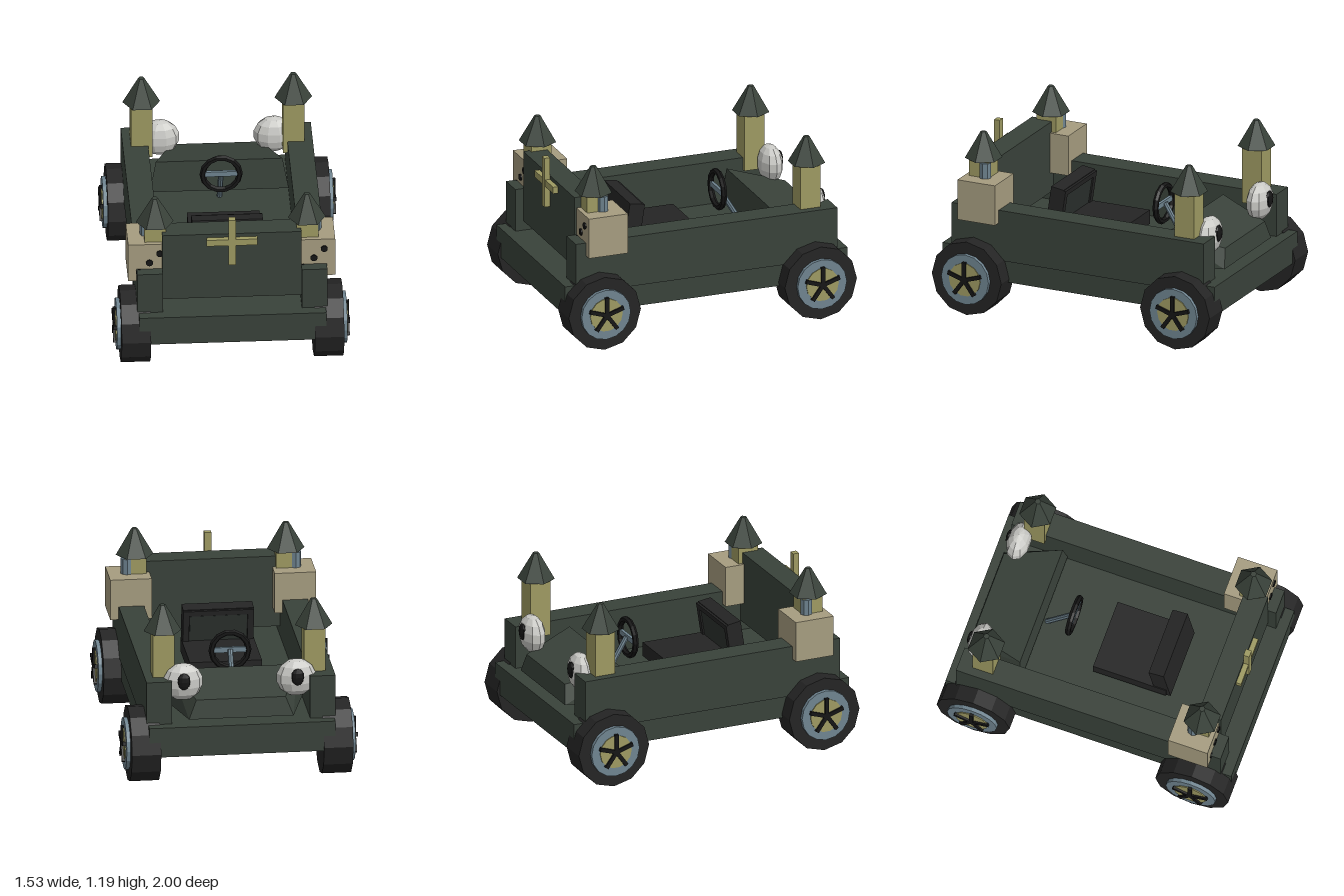
import * as THREE from 'three';
import { ConvexGeometry } from 'three/addons/geometries/ConvexGeometry.js';

const paint = (name, color) => {
  const m = new THREE.MeshStandardMaterial({ color, flatShading: true });
  m.name = name;
  return m;
};

export function createModel() {
  const model = new THREE.Group();
  model.name = 'castleCar';
  const green = paint('dark green', 0x39423a);
  const tyreGrey = paint('tyre grey', 0x242424);
  const black = paint('black', 0x151515);
  const yellow = paint('dull yellow', 0x9e9a62);
  const tan = paint('tan', 0xa69d80);
  const blue = paint('steel blue', 0x6f8490);
  const white = paint('off white', 0xcacac6);
  const padGrey = paint('pad grey', 0x2c312e);

  const add = (name, geo, mat, x = 0, y = 0, z = 0, parent = model) => {
    const m = new THREE.Mesh(geo, mat);
    m.name = name;
    m.position.set(x, y, z);
    parent.add(m);
    return m;
  };
  // box given by its limits
  const box = (name, mat, x0, x1, y0, y1, z0, z1, parent = model) =>
    add(name, new THREE.BoxGeometry(x1 - x0, y1 - y0, z1 - z0), mat,
      (x0 + x1) / 2, (y0 + y1) / 2, (z0 + z1) / 2, parent);
  // cylinder lying along x
  const disc = (r, h, n) => new THREE.CylinderGeometry(r, r, h, n).rotateZ(-Math.PI / 2);

  // body
  box('chassis', green, -0.605, 0.605, 0.225, 0.425, -0.98, 0.98);
  box('frontPanel', green, -0.45, 0.45, 0.49, 0.97, 0.7, 0.855);
  box('crossUpright', yellow, -0.023, 0.023, 0.757, 1.095, 0.855, 0.895);
  box('crossBar', yellow, -0.165, 0.165, 0.9, 0.945, 0.856, 0.89);

  // tapered cowl in front of the driver
  const cowl = [];
  for (const s of [-1, 1]) {
    cowl.push(
      new THREE.Vector3(s * 0.34, 0.455, -0.92), new THREE.Vector3(s * 0.45, 0.455, -0.52),
      new THREE.Vector3(s * 0.29, 0.58, -0.9), new THREE.Vector3(s * 0.41, 0.67, -0.54));
  }
  add('cowl', new ConvexGeometry(cowl), green);

  // seat with a backrest leaning over the cushion
  box('seatCushion', tyreGrey, -0.235, 0.235, 0.455, 0.55, -0.1, 0.4);
  const back = new THREE.Group();
  back.name = 'seatBack';
  back.position.set(0, 0.46, 0.385);
  back.rotation.x = -0.15;
  model.add(back);
  box('backrest', tyreGrey, -0.23, 0.23, 0, 0.32, -0.045, 0.045, back);
  box('backrestRimTop', tyreGrey, -0.23, 0.23, 0.28, 0.315, -0.06, -0.045, back);
  for (const s of [-1, 1]) {
    box('backrestRimSide', tyreGrey, s * 0.21 - 0.02, s * 0.21 + 0.02, 0.08, 0.28, -0.06, -0.045, back);
  }
  box('backrestPad', padGrey, -0.185, 0.185, 0.09, 0.275, -0.052, -0.045, back);

  // steering
  add('steeringWheel', new THREE.TorusGeometry(0.12, 0.02, 6, 14), black, 0, 0.705, -0.315);
  box('steeringCrossbar', blue, -0.115, 0.115, 0.69, 0.725, -0.325, -0.305);
  const top = new THREE.Vector3(0, 0.71, -0.325);
  const foot = new THREE.Vector3(0, 0.42, -0.5);
  const column = add('steeringColumn',
    new THREE.CylinderGeometry(0.018, 0.018, top.distanceTo(foot), 8), blue);
  column.position.copy(top).add(foot).multiplyScalar(0.5);
  column.quaternion.setFromUnitVectors(new THREE.Vector3(0, 1, 0), top.clone().sub(foot).normalize());

  for (const s of [-1, 1]) {
    const side = s > 0 ? 'left' : 'right';
    box(side + 'Wall', green, s * 0.5325 - 0.0825, s * 0.5325 + 0.0825, 0.37, 0.713, -0.905, 0.91);

    // spotted blocks, with the same slant of spots on both
    box(side + 'Block', tan, s * 0.535 - 0.135, s * 0.535 + 0.135, 0.625, 0.897, 0.57, 0.84);
    for (const d of [-1, 0, 1]) {
      add(side + 'BlockSpot', new THREE.CylinderGeometry(0.023, 0.023, 0.009, 10).rotateX(Math.PI / 2),
        black, s * 0.532 + d * 0.067, 0.76 + d * 0.067, 0.844);
    }
    add(side + 'Pipe', new THREE.CylinderGeometry(0.04, 0.04, 0.11, 8), blue, s * 0.548, 0.945, 0.7);

    // corner towers
    for (const z of [-0.74, 0.74]) {
      const low = z > 0 ? 0.85 : 0.63;
      box(side + 'Tower', yellow, s * 0.492 - 0.07, s * 0.492 + 0.07, low, 1.015, z - 0.07, z + 0.07);
      add(side + 'TowerRoof', new THREE.CylinderGeometry(0.02, 0.122, 0.178, 6).rotateY(Math.PI / 6),
        green, s * 0.492, 1.099, z);
    }

    // eyes on the rear corners
    const eye = add(side + 'Eye', new THREE.SphereGeometry(0.13, 10, 7), white, s * 0.368, 0.685, -0.825);
    eye.scale.set(1, 0.97, 0.6);
    const pupil = add(side + 'Pupil', new THREE.SphereGeometry(0.05, 10, 6), black, s * 0.37, 0.705, -0.892);
    pupil.scale.set(0.9, 1.15, 0.4);

    // wheels
    for (const z of [-0.75, 0.75]) {
      const wheel = new THREE.Group();
      wheel.name = side + (z > 0 ? 'Front' : 'Rear') + 'Wheel';
      wheel.position.set(s * 0.625, 0.25, z);
      model.add(wheel);
      add('tyre', disc(0.25, 0.19, 12), tyreGrey, 0, 0, 0, wheel);
      add('rim', disc(0.17, 0.03, 16), blue, s * 0.105, 0, 0, wheel);
      add('hubDisc', disc(0.112, 0.03, 14), yellow, s * 0.112, 0, 0, wheel);
      for (let i = 0; i < 5; i++) {
        const spoke = add('spoke', new THREE.BoxGeometry(0.02, 0.122, 0.026).translate(0, 0.061, 0),
          black, s * 0.13, 0, 0, wheel);
        spoke.rotation.x = (i * Math.PI * 2) / 5;
      }
    }
  }
  return model;
}
